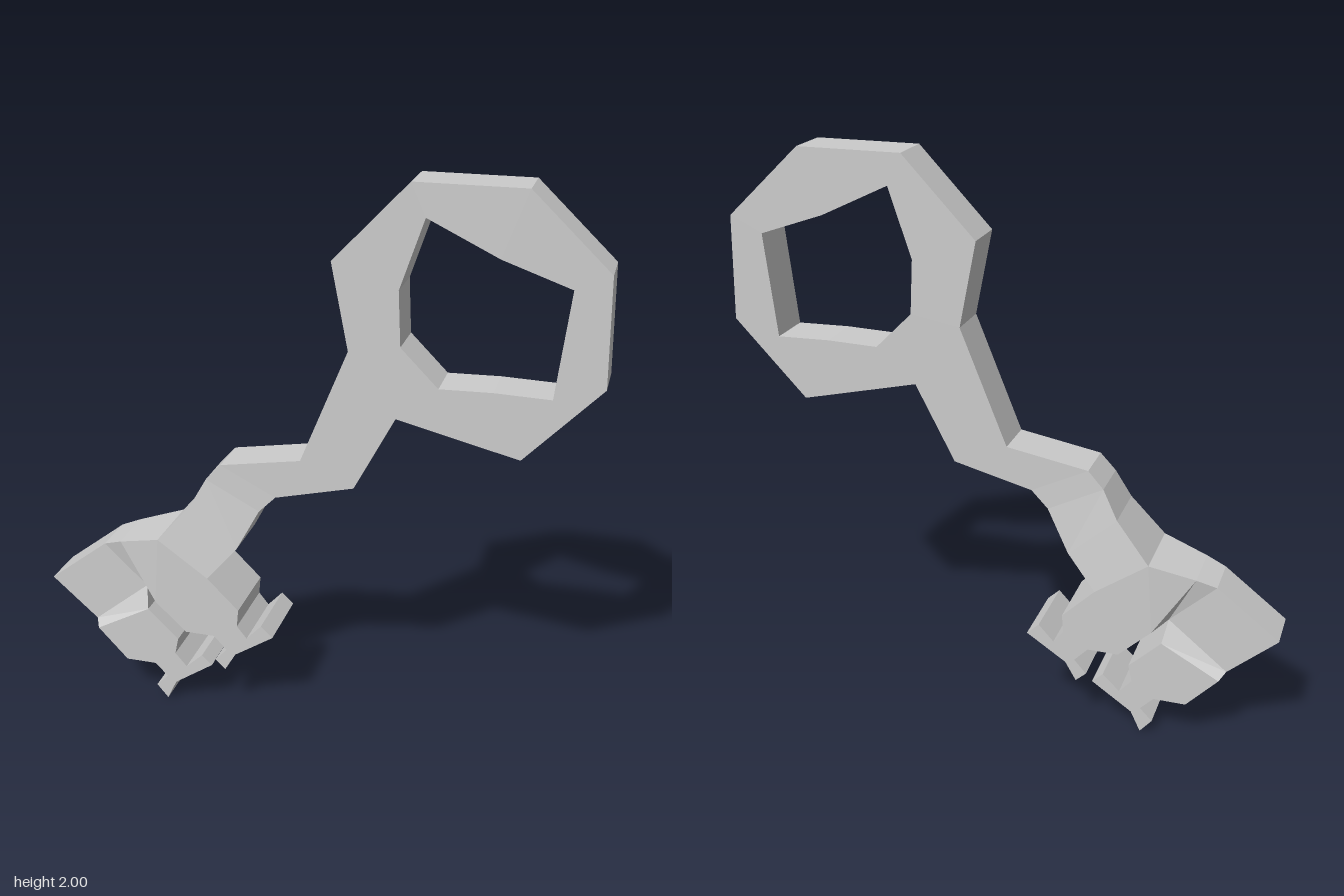
import * as THREE from 'three';

// Every point is [x, y, half thickness]; panels are polygons of such points.
const thin = 0.083;
const at = (d, pts) => pts.map(([x, y]) => [x, y, d]);

// Bow: outer and inner rings of eight corners
const outer = at(thin, [[0.145, 1.43], [0.085, 1.73], [0.34, 2], [0.71, 2],
  [0.975, 1.75], [0.985, 1.38], [0.73, 1.11], [0.31, 1.21]]);
const inner = at(thin, [[0.32, 1.46], [0.31, 1.65], [0.39, 1.89], [0.63, 1.775],
  [0.86, 1.695], [0.82, 1.33], [0.63, 1.335], [0.45, 1.33]]);

// Shaft: pairs of upper and lower points from the bow down to the head
const upper = [outer[0], [-0.02, 1.02, thin], [-0.31, 0.97, thin], [-0.365, 0.91, 0.086],
  [-0.42, 0.81, 0.105], [-0.54, 0.67, 0.132]];
const lower = [outer[7], [0.17, 0.94, thin], [-0.11, 0.87, thin], [-0.17, 0.81, 0.086],
  [-0.25, 0.66, 0.105], [-0.355, 0.54, 0.132]];

// Head: thin tip with slopes rising to the shaft and the outer tooth
const tipTop = [-0.77, 0.6, thin], ridge = [-0.7, 0.625, 0.098];
const slotIn = [-0.61, 0.45, thin], slotOut = [-0.56, 0.415, 0.132];
const tipLow = [-0.82, 0.28, thin], tipEnd = [-0.99, 0.43, thin];
const stepIn = [-0.595, 0.372, 0.12], stepOut = [-0.8, 0.26, 0.12];

// Teeth: plate, narrow neck and crossbar
const innerTooth = at(0.132, [[-0.24, 0.426], [-0.246, 0.36], [-0.21, 0.315], [-0.155, 0.374],
  [-0.112, 0.333], [-0.255, 0.24], [-0.295, 0.172], [-0.332, 0.206], [-0.288, 0.255],
  [-0.336, 0.306], [-0.445, 0.306]]);
const outerTooth = at(0.12, [[-0.482, 0.262], [-0.495, 0.2], [-0.452, 0.15], [-0.39, 0.208],
  [-0.352, 0.172], [-0.497, 0.074], [-0.532, 0], [-0.574, 0.05], [-0.53, 0.095],
  [-0.576, 0.143], [-0.69, 0.143]]);

const strip = (a, b, n, closed) => Array.from({ length: n }, (_, i) => {
  const j = closed ? (i + 1) % a.length : i + 1;
  return [a[i], a[j], b[j], b[i]];
});

const parts = {
  bow: strip(outer, inner, 8, true),
  shaft: strip(upper, lower, 5, false),
  tip: [
    [tipTop, slotIn, tipLow, tipEnd],
    [tipTop, ridge, slotIn],
    [ridge, slotOut, slotIn],
    [ridge, upper[5], slotOut],
  ],
  innerTooth: [[upper[5], lower[5], ...innerTooth, slotOut]],
  outerTooth: [
    [slotIn, stepIn, stepOut, tipLow],
    [stepIn, ...outerTooth, stepOut],
  ],
};

const key = (a, b) => `${a}|${b}`;

export function createModel() {
  const group = new THREE.Group();
  group.name = 'key';
  const material = new THREE.MeshStandardMaterial({ color: 0xcccccc, flatShading: true });
  const edges = new Set();

  // Turn all panels counter-clockwise and collect their edges
  const all = Object.entries(parts).map(([name, panels]) => [name, panels.map((p) => {
    const clockwise = THREE.ShapeUtils.isClockWise(p.map(([x, y]) => new THREE.Vector2(x, y)));
    const loop = clockwise ? [...p].reverse() : p;
    loop.forEach((a, i) => edges.add(key(a, loop[(i + 1) % loop.length])));
    return loop;
  })]);

  for (const [name, panels] of all) {
    const pos = [];
    const front = (p) => pos.push(p[0], p[1], p[2]);
    const back = (p) => pos.push(p[0], p[1], -p[2]);
    for (const loop of panels) {
      // Front and back faces
      const flat = loop.map(([x, y]) => new THREE.Vector2(x, y));
      for (const [a, b, c] of THREE.ShapeUtils.triangulateShape(flat, [])) {
        front(loop[a]); front(loop[b]); front(loop[c]);
        back(loop[a]); back(loop[c]); back(loop[b]);
      }
      // Side walls only where no other panel adjoins
      loop.forEach((a, i) => {
        const b = loop[(i + 1) % loop.length];
        if (edges.has(key(b, a))) return;
        front(a); back(a); back(b);
        front(a); back(b); front(b);
      });
    }
    const geometry = new THREE.BufferGeometry();
    geometry.setAttribute('position', new THREE.Float32BufferAttribute(pos, 3));
    geometry.computeVertexNormals();
    const mesh = new THREE.Mesh(geometry, material);
    mesh.name = name;
    group.add(mesh);
  }
  return group;
}
